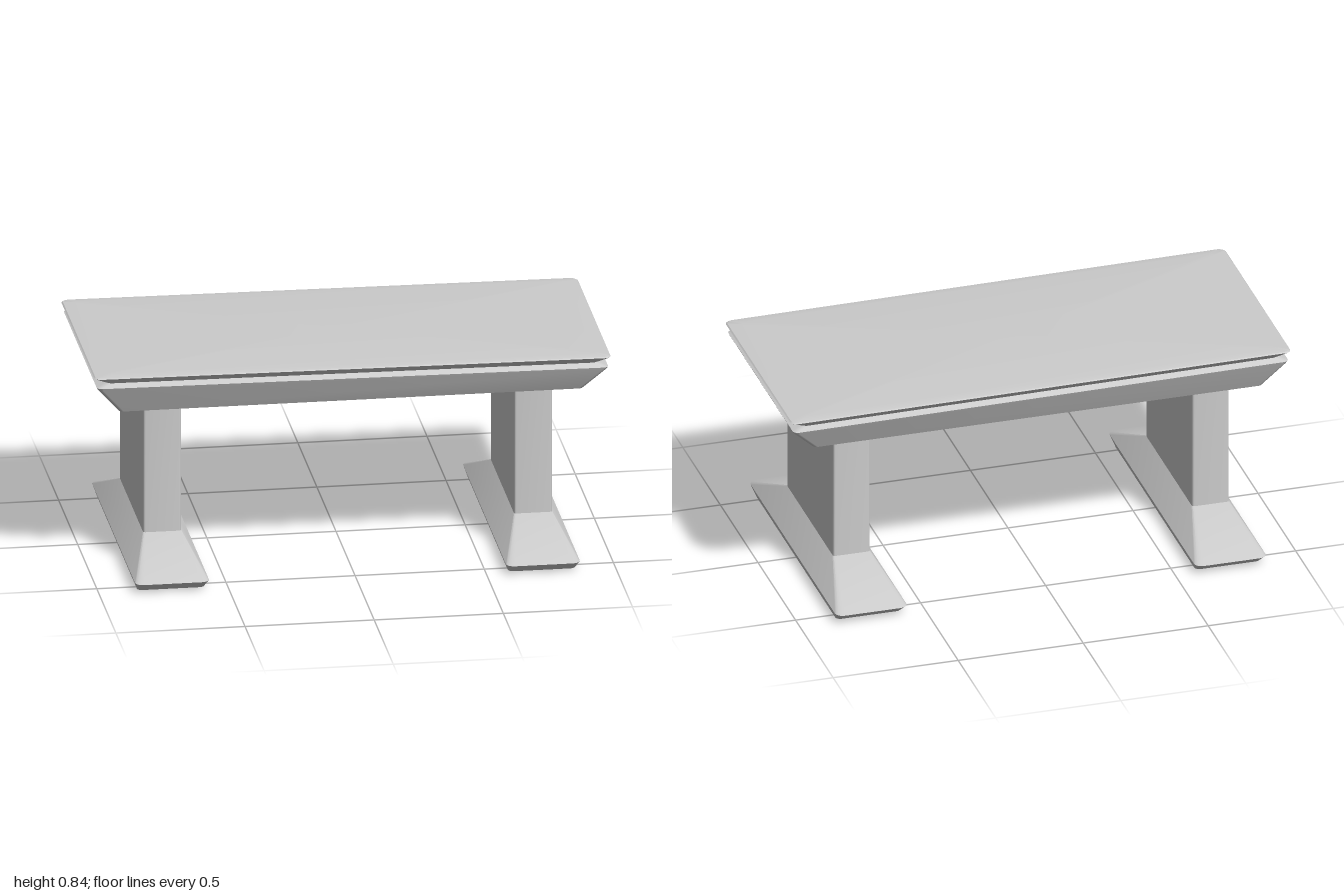
import * as THREE from 'three';
import { toCreasedNormals } from 'three/addons/utils/BufferGeometryUtils.js';

const CORNER_STEPS = 4;

// Outline of a rounded rectangle with half sizes hx, hz, in the xz plane
function outline(hx, hz, r) {
  const pts = [];
  [[1, 1], [-1, 1], [-1, -1], [1, -1]].forEach(([sx, sz], q) => {
    for (let i = 0; i <= CORNER_STEPS; i++) {
      const a = (q + i / CORNER_STEPS) * Math.PI / 2;
      pts.push([sx * (hx - r) + r * Math.cos(a), sz * (hz - r) + r * Math.sin(a)]);
    }
  });
  return pts;
}

// Capped solid through sections [y, hx, hz, radius], listed bottom to top
function loft(sections, slope = () => 0) {
  const pos = [], index = [];
  const n = 4 * (CORNER_STEPS + 1);
  const add = (x, y, z) => pos.push(x, y + slope(x, y), z);
  for (const [y, hx, hz, r] of sections) {
    for (const [x, z] of outline(hx, hz, r)) add(x, y, z);
  }
  const last = sections.length - 1;
  const bottom = n * sections.length, top = bottom + 1;
  add(0, sections[0][0], 0);
  add(0, sections[last][0], 0);
  for (let i = 0; i < n; i++) {
    const j = (i + 1) % n;
    for (let s = 0; s < last; s++) {
      const a = s * n + i, b = s * n + j;
      index.push(a, a + n, b, b, a + n, b + n);
    }
    index.push(bottom, i, j, top, last * n + j, last * n + i);
  }
  const geo = new THREE.BufferGeometry();
  geo.setAttribute('position', new THREE.Float32BufferAttribute(pos, 3));
  geo.setIndex(index);
  return toCreasedNormals(geo, 0.5);
}

export function createModel() {
  const group = new THREE.Group();
  const material = new THREE.MeshStandardMaterial({ color: 0xcccccc });
  const part = (name, geo, parent) => {
    const mesh = new THREE.Mesh(geo, material);
    mesh.name = name;
    parent.add(mesh);
  };

  // Table top: flared apron, lip, groove and slab, falling slightly towards +x
  const tilt = (x, y) => (y > 0.7 ? -0.008 * x : 0);
  part('tableTop', loft([
    [0.68, 0.9, 0.4, 0.02],
    [0.775, 0.985, 0.443, 0.02],
    [0.785, 0.99, 0.447, 0.02],
    [0.801, 0.95, 0.43, 0.02],
    [0.818, 0.99, 0.445, 0.025],
    [0.824, 1, 0.45, 0.025],
    [0.828, 0.995, 0.446, 0.025],
    [0.832, 0.94, 0.41, 0.02],
  ], tilt), group);

  // Trestle legs, mirrored left and right
  for (const side of [-1, 1]) {
    const leg = new THREE.Group();
    leg.name = side > 0 ? 'leftLeg' : 'rightLeg';
    leg.position.x = side * 0.718;
    part('foot', loft([
      [0, 0.13, 0.54, 0.02],
      [0.038, 0.143, 0.59, 0.03],
      [0.15, 0.074, 0.31, 0.01],
    ]), leg);
    part('post', loft([
      [0.15, 0.074, 0.31, 0.01],
      [0.65, 0.074, 0.31, 0.01],
    ]), leg);
    part('collar', loft([
      [0.65, 0.074, 0.31, 0.01],
      [0.682, 0.125, 0.36, 0.02],
    ]), leg);
    group.add(leg);
  }
  return group;
}
